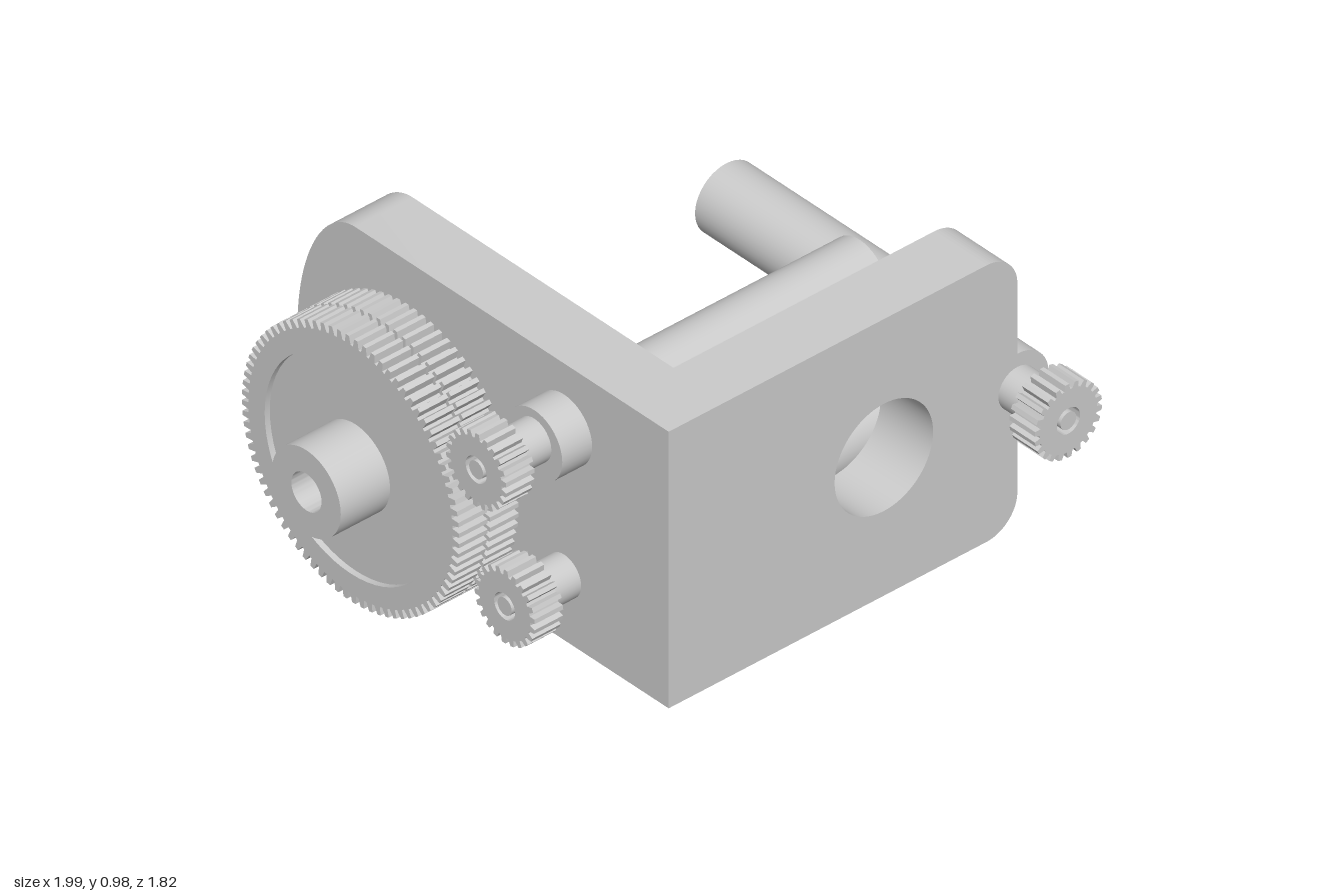
import * as THREE from 'three';
import { toCreasedNormals } from 'three/addons/utils/BufferGeometryUtils.js';

const material = new THREE.MeshStandardMaterial({ color: 0xcccccc });

function circlePath(x, y, r) {
  return new THREE.Path().absarc(x, y, r, 0, Math.PI * 2, true);
}

function extrude(shape, depth) {
  const geo = new THREE.ExtrudeGeometry(shape, { depth, bevelEnabled: false, curveSegments: 32 });
  return toCreasedNormals(geo, 0.35);
}

// Toothed ring with a round opening, extruded along +z
function gearGeometry(teeth, rTip, rRoot, bore, depth) {
  const shape = new THREE.Shape();
  const pitch = (Math.PI * 2) / teeth;
  const profile = [[0, rRoot], [0.3, rRoot], [0.42, rTip], [0.82, rTip]];
  for (let i = 0; i < teeth; i++) {
    profile.forEach(([t, r], k) => {
      const a = (i + t) * pitch;
      shape[i + k === 0 ? 'moveTo' : 'lineTo'](r * Math.cos(a), r * Math.sin(a));
    });
  }
  shape.closePath();
  shape.holes.push(circlePath(0, 0, bore));
  return extrude(shape, depth);
}

// Solid rod along z from 0 to length
function rodGeometry(r, length) {
  return new THREE.CylinderGeometry(r, r, length, 40).rotateX(Math.PI / 2).translate(0, 0, length / 2);
}

// Hollow rod along z from 0 to length
function tubeGeometry(r, bore, length) {
  const shape = new THREE.Shape().absarc(0, 0, r, 0, Math.PI * 2, false);
  shape.holes.push(circlePath(0, 0, bore));
  return extrude(shape, length);
}

export function createModel() {
  const model = new THREE.Group();

  function add(name, geo, x, y, z, alongX) {
    const mesh = new THREE.Mesh(geo, material);
    mesh.name = name;
    mesh.position.set(x, y, z);
    if (alongX) mesh.rotation.y = Math.PI / 2; // local z becomes x, local x becomes -z
    model.add(mesh);
    return mesh;
  }

  // Front plate: two rounded corners and a window
  const front = new THREE.Shape();
  const edge = 0.865, top = 0.98, c = 0.12;
  front.moveTo(-0.26, 0);
  front.lineTo(edge - c, 0);
  front.absarc(edge - c, c, c, -Math.PI / 2, 0, false);
  front.absarc(edge - c, top - c, c, 0, Math.PI / 2, false);
  front.lineTo(-0.26, top);
  front.closePath();
  front.holes.push(circlePath(0.35, 0.49, 0.19));
  add('frontPlate', extrude(front, 0.225), 0, 0, 0.465);

  // Side plate: bowed rear end and an axle hole
  const side = new THREE.Shape();
  side.moveTo(-0.69, 0);
  side.lineTo(0.66, 0);
  side.absellipse(0.66, 0.49, 0.25, 0.49, -Math.PI / 2, Math.PI / 2, false);
  side.lineTo(-0.69, top);
  side.closePath();
  side.holes.push(circlePath(0.29, 0.49, 0.065));
  add('sidePlate', extrude(side, 0.22), -0.48, 0, 0, true);

  // Twin large gears on a hollow hub
  const axle = [0.49, -0.29];
  add('gearHub', tubeGeometry(0.148, 0.065, 0.52), -1, ...axle, true);
  for (const [name, x, webX] of [['outerGear', -0.83, -0.81], ['innerGear', -0.71, -0.69]]) {
    add(name + 'Rim', gearGeometry(80, 0.468, 0.44, 0.37, 0.11), x, ...axle, true);
    add(name + 'Web', tubeGeometry(0.372, 0.14, 0.088), webX, ...axle, true);
  }

  // Pinions with a small spindle in the bore
  const pinion = gearGeometry(22, 0.13, 0.11, 0.045, 0.11);
  const spindle = rodGeometry(0.03, 0.11);

  // Upper roller and its pinion, meshing with the outer gear
  add('upperRoller', rodGeometry(0.12, 1.255), -0.595, 0.75, 0.24, true);
  add('upperNeck', rodGeometry(0.073, 0.13), -0.715, 0.767, 0.24, true);
  add('upperPinion', pinion, -0.82, 0.767, 0.24, true);
  add('upperSpindle', spindle, -0.82, 0.767, 0.24, true);

  // Lower roller and its pinion, meshing with the inner gear
  add('lowerRoller', rodGeometry(0.12, 1.2), -0.45, 0.23, 0.24, true);
  add('lowerNeck', rodGeometry(0.073, 0.16), -0.6, 0.23, 0.24, true);
  add('lowerPinion', pinion, -0.71, 0.23, 0.24, true);
  add('lowerSpindle', spindle, -0.71, 0.23, 0.24, true);

  // Long rod at the free edge of the front plate, with its own pinion
  add('edgeRod', rodGeometry(0.12, 1.255), 0.865, 0.49, -0.565);
  add('edgeNeck', rodGeometry(0.073, 0.13), 0.865, 0.49, 0.68);
  add('edgePinion', pinion, 0.865, 0.49, 0.8);
  add('edgeSpindle', spindle, 0.865, 0.49, 0.8);

  return model;
}
